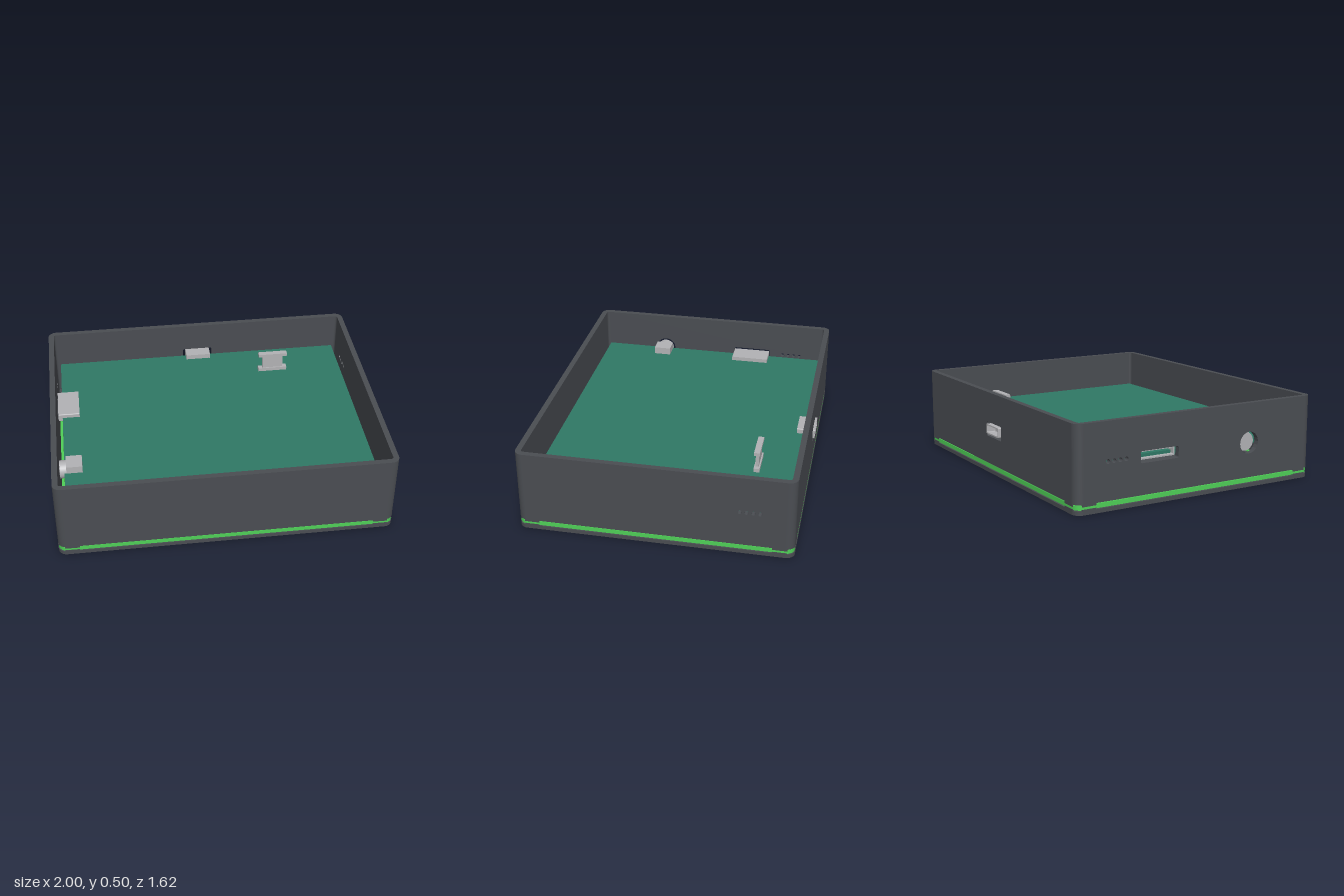
import * as THREE from 'three';

const W = 1, D = 0.805, T = 0.034, R = 0.05;   // half width, half depth, wall, corner radius
const WALL_Y = 0.058, WALL_TOP = 0.5;

const mat = (name, color, side = THREE.FrontSide) => {
  const m = new THREE.MeshStandardMaterial({ color, side });
  m.name = name;
  return m;
};

// Rounded rectangle traced on a Shape or Path
function roundRect(path, w, h, r, cx = 0, cy = 0) {
  path.absarc(cx + w - r, cy + h - r, r, 0, Math.PI / 2);
  path.absarc(cx - w + r, cy + h - r, r, Math.PI / 2, Math.PI);
  path.absarc(cx - w + r, cy - h + r, r, Math.PI, Math.PI * 1.5);
  path.absarc(cx + w - r, cy - h + r, r, Math.PI * 1.5, Math.PI * 2);
  path.closePath();
  return path;
}

const extrude = (shape, depth) =>
  new THREE.ExtrudeGeometry(shape, { depth, bevelEnabled: false, curveSegments: 10 });

// Horizontal slab from a plan shape, between two heights
const slab = (shape, y0, y1) => extrude(shape, y1 - y0).rotateX(-Math.PI / 2).translate(0, y0, 0);

export function createModel() {
  const model = new THREE.Group();
  model.name = 'enclosure';
  const caseMat = mat('charcoal plastic', 0x4a4d52);
  const glowMat = mat('green light strip', 0x4fd057);
  const boardMat = mat('teal board', 0x2f7865);
  const metalMat = mat('connector metal', 0xb2b2b5);

  const add = (parent, name, geo, material, x = 0, y = 0, z = 0) => {
    const m = new THREE.Mesh(geo, material);
    m.name = name;
    m.position.set(x, y, z);
    parent.add(m);
    return m;
  };
  const box = (parent, name, material, x0, x1, y0, y1, z0, z1) =>
    add(parent, name, new THREE.BoxGeometry(x1 - x0, y1 - y0, z1 - z0), material,
      (x0 + x1) / 2, (y0 + y1) / 2, (z0 + z1) / 2);

  const shell = new THREE.Group();
  shell.name = 'shell';
  shell.position.z = 0.006;
  model.add(shell);

  // Wall panels with cut-outs for the ports
  const panel = (name, half, angle, x, z, holes) => {
    const s = new THREE.Shape();
    s.moveTo(-half, WALL_Y);
    s.lineTo(half, WALL_Y);
    s.lineTo(half, WALL_TOP);
    s.lineTo(-half, WALL_TOP);
    s.closePath();
    s.holes.push(...holes);
    add(shell, name, extrude(s, T), caseMat, x, 0, z).rotation.y = angle;
  };
  const dots = (sign) => [-0.485, -0.523, -0.562, -0.6].map((z) =>
    new THREE.Path().absarc(sign * (z - 0.006), 0.277, 0.013, 0, Math.PI * 2));
  const usbHole = roundRect(new THREE.Path(), 0.125, 0.034, 0.01, -0.274, 0.273);
  const jackHole = new THREE.Path().absarc(0.344, 0.265, 0.065, 0, Math.PI * 2);
  const backHole = roundRect(new THREE.Path(), 0.098, 0.044, 0.01, 0, 0.272);
  panel('frontWall', W - R, 0, 0, D - T, []);
  panel('backWall', W - R, Math.PI, 0, -D + T, [backHole]);
  panel('leftWall', D - R, Math.PI / 2, W - T, 0, dots(-1));
  panel('rightWall', D - R, -Math.PI / 2, -W + T, 0, [...dots(1), usbHole, jackHole]);

  // Rounded wall corners
  const arc = new THREE.Shape();
  arc.absarc(0, 0, R, 0, Math.PI / 2);
  arc.absarc(0, 0, R - T, Math.PI / 2, 0, true);
  arc.closePath();
  const cornerGeo = slab(arc, WALL_Y, WALL_TOP);
  [[1, -1], [-1, -1], [-1, 1], [1, 1]].forEach(([sx, sz], k) => {
    add(shell, 'cornerWall', cornerGeo, caseMat, sx * (W - R), 0, sz * (D - R)).rotation.y = k * Math.PI / 2;
  });

  // Clamping tabs above and below the strip at each corner
  for (const sx of [-1, 1]) for (const sz of [-1, 1]) for (const [y, h] of [[0.052, 0.012], [0.026, 0.012]]) {
    add(shell, 'cornerTab', new THREE.BoxGeometry(0.085, h, 0.06), caseMat,
      sx * 0.9175, y, sz * (D - 0.03));
    add(shell, 'cornerTab', new THREE.BoxGeometry(0.06, h, 0.085), caseMat,
      sx * (W - 0.03), y, sz * (D - 0.0825));
  }

  // Bottom lid and the light strip around it
  add(shell, 'bottomLid', slab(roundRect(new THREE.Shape(), W, D, R), 0, 0.023), caseMat);
  const lip = roundRect(new THREE.Shape(), 0.949, D - 0.051, 0.02);
  lip.holes.push(roundRect(new THREE.Path(), 0.925, D - 0.075, 0.01));
  add(shell, 'lidLip', slab(lip, 0.022, 0.05), caseMat);
  const ring = roundRect(new THREE.Shape(), W - 0.002, D - 0.002, R);
  ring.holes.push(roundRect(new THREE.Path(), 0.95, D - 0.05, 0.02));
  add(shell, 'lightStrip', slab(ring, 0.028, 0.054), glowMat);

  // Circuit board
  box(model, 'circuitBoard', boardMat, -0.937, 0.937, 0.243, 0.274, -0.75, 0.75);

  // Hollow socket whose opening faces local +z, with an inner tongue
  const socket = (name, halfW, halfH, depth) => {
    const g = new THREE.Group();
    g.name = name;
    const s = roundRect(new THREE.Shape(), halfW, halfH, 0.006);
    s.holes.push(roundRect(new THREE.Path(), halfW - 0.009, halfH - 0.008, 0.004));
    add(g, 'socketShell', extrude(s, depth), metalMat);
    box(g, 'socketBack', metalMat, -halfW + 0.004, halfW - 0.004, -halfH + 0.004, halfH - 0.004, 0.001, depth * 0.5);
    model.add(g);
    return g;
  };
  const backPort = socket('backPort', 0.082, 0.03, 0.11);
  backPort.position.set(0, 0.276, -0.701);
  backPort.rotation.y = Math.PI;
  const sidePort = socket('sidePort', 0.122, 0.026, 0.135);
  sidePort.position.set(-0.828, 0.274, -0.268);
  sidePort.rotation.y = -Math.PI / 2;

  // Round jack
  box(model, 'jackBody', metalMat, -0.925, -0.828, 0.25, 0.32, 0.295, 0.405);
  add(model, 'jackBarrel', new THREE.CylinderGeometry(0.055, 0.055, 0.05, 32).rotateZ(Math.PI / 2),
    metalMat, -0.94, 0.265, 0.35);

  // Upright component with an I-shaped outline
  const stand = new THREE.Group();
  stand.name = 'uprightComponent';
  model.add(stand);
  box(stand, 'topFlange', metalMat, 0.385, 0.575, 0.385, 0.405, -0.535, -0.5);
  box(stand, 'web', metalMat, 0.412, 0.548, 0.295, 0.387, -0.527, -0.508);
  box(stand, 'bottomFlange', metalMat, 0.385, 0.575, 0.27, 0.297, -0.535, -0.5);

  return model;
}
